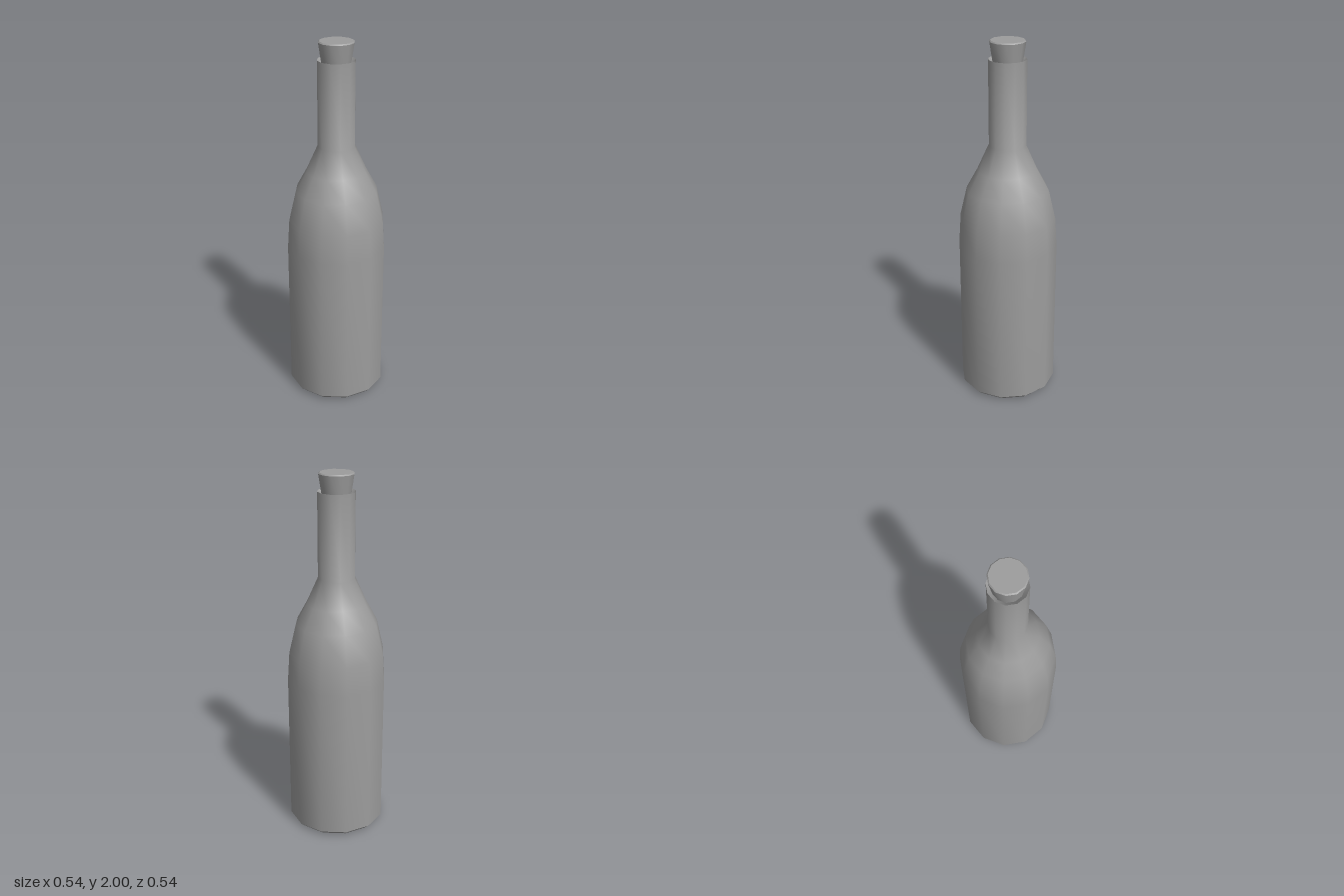
import * as THREE from 'three';
import { toCreasedNormals } from 'three/addons/utils/BufferGeometryUtils.js';

const SIDES = 12;

// Revolve a [radius, height] profile, smooth along the sides with sharp rims
function turned(name, profile) {
  const points = profile.map(([r, y]) => new THREE.Vector2(r, y));
  const geometry = toCreasedNormals(new THREE.LatheGeometry(points, SIDES), 0.72);
  const mesh = new THREE.Mesh(geometry, new THREE.MeshStandardMaterial({ color: 0x9c9c9c }));
  mesh.name = name;
  return mesh;
}

export function createModel() {
  const group = new THREE.Group();
  group.name = 'corkedBottle';

  // Glass: bevelled base, straight body, curved shoulder, neck and inward-sloping lip
  group.add(turned('bottle', [
    [0, 0], [0.247, 0], [0.272, 0.024],
    [0.272, 0.88], [0.261, 1.04], [0.223, 1.2],
    [0.163, 1.31], [0.1, 1.45],
    [0.1, 1.905], [0.076, 1.88],
  ]));

  // Tapered stopper, wider at the top with a small bevel
  group.add(turned('cork', [
    [0, 1.86], [0.073, 1.86], [0.094, 1.994], [0.088, 2], [0, 2],
  ]));

  return group;
}
